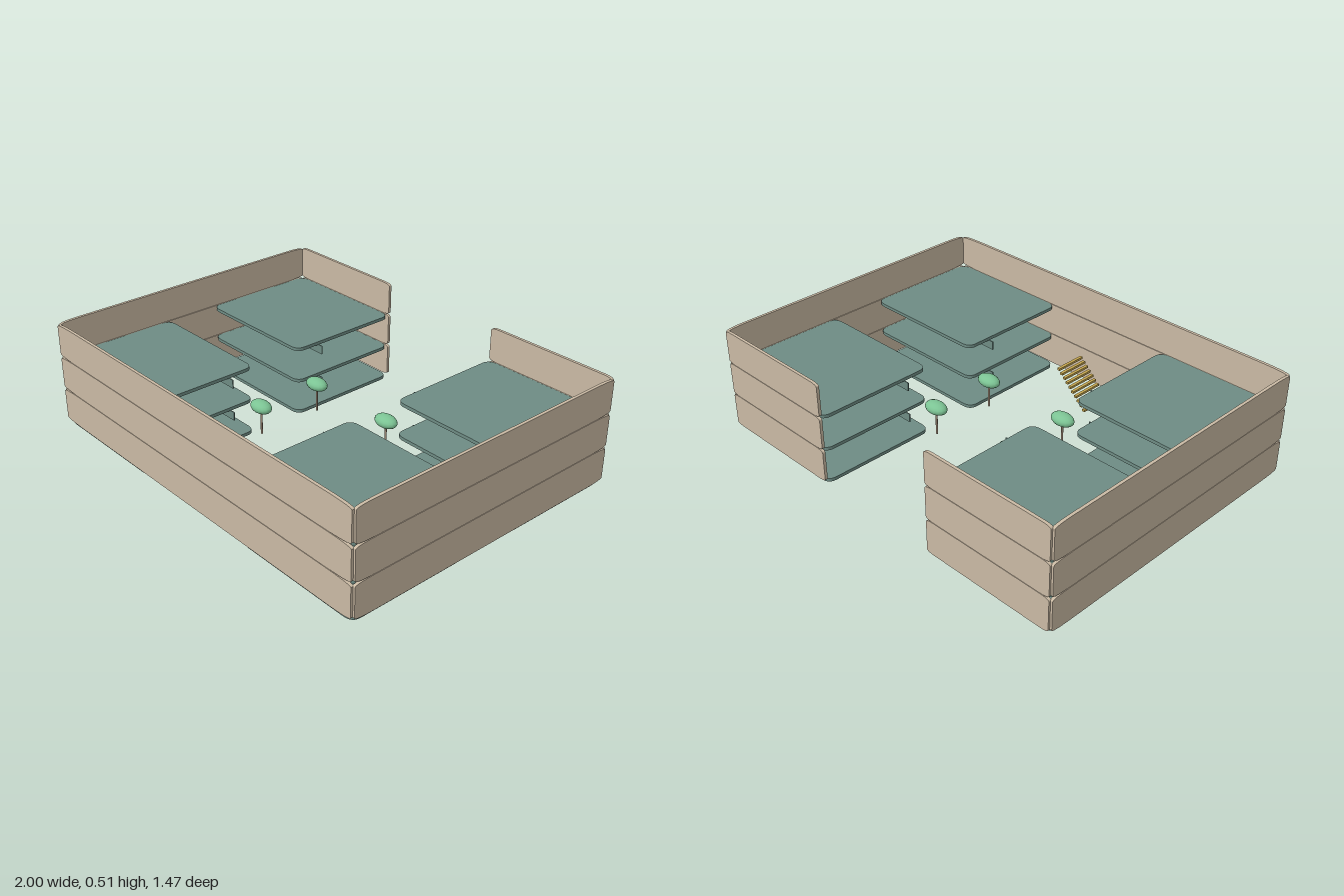
import * as THREE from 'three';

const mat = (name, color) => {
  const m = new THREE.MeshStandardMaterial({ color });
  m.name = name;
  return m;
};

// Rounded plate in the xy plane, corner radii proportional to its sides
function plate(w, h, t, k = 0.075) {
  const a = w / 2, b = h / 2, rx = w * k, ry = h * k;
  const s = new THREE.Shape();
  s.moveTo(-a + rx, -b);
  s.lineTo(a - rx, -b);
  s.quadraticCurveTo(a, -b, a, -b + ry);
  s.lineTo(a, b - ry);
  s.quadraticCurveTo(a, b, a - rx, b);
  s.lineTo(-a + rx, b);
  s.quadraticCurveTo(-a, b, -a, b - ry);
  s.lineTo(-a, -b + ry);
  s.quadraticCurveTo(-a, -b, -a + rx, -b);
  const g = new THREE.ExtrudeGeometry(s, { depth: t, bevelEnabled: false, curveSegments: 8 });
  return g.translate(0, 0, -t / 2);
}

export function createModel() {
  const root = new THREE.Group();
  root.name = 'building';
  const wall = mat('beige wall', 0xcabaa4);
  const slab = mat('grey green floor', 0x6e8c84);
  const leaf = mat('leaf green', 0x7cc494);
  const gold = mat('golden wood', 0xc8a850);
  const bark = mat('trunk brown', 0xa08c78);

  const add = (parent, name, geo, m, x, y, z) => {
    const mesh = new THREE.Mesh(geo, m);
    mesh.name = name;
    mesh.position.set(x, y, z);
    parent.add(mesh);
    return mesh;
  };

  const PITCH = 0.1645, H = 0.162, T = 0.014;
  const frontGeo = plate(1.98, H, T);
  const sideGeo = plate(1.446, H, T).rotateY(Math.PI / 2);
  const backGeo = plate(0.66, H, T);
  const floorGeo = plate(0.655, 0.587, 0.016).rotateX(-Math.PI / 2);
  const beamGeo = new THREE.BoxGeometry(0.435, 0.042, 0.005);

  // Three storeys: outer wall panels, four floor slabs, beams under the upper slabs
  for (let i = 0; i < 3; i++) {
    const storey = new THREE.Group();
    storey.name = 'storey' + (i + 1);
    storey.position.y = i * PITCH;
    root.add(storey);
    const wy = 0.018 + H / 2;
    add(storey, 'frontWall', frontGeo, wall, 0, wy, 0.722);
    for (const sx of [1, -1]) {
      add(storey, 'sideWall', sideGeo, wall, sx * 0.993, wy, -0.005);
      add(storey, 'backWall', backGeo, wall, sx * 0.66, wy, -0.73);
      for (const sz of [1, -1]) {
        add(storey, 'floorSlab', floorGeo, slab, sx * 0.657, 0.008, sz * 0.425 - 0.003);
        if (i > 0) add(storey, 'beam', beamGeo, slab, sx * 0.5225, -0.021, sz * 0.263 - 0.003);
      }
    }
  }

  // Courtyard trees
  const crownGeo = new THREE.SphereGeometry(1, 16, 10).scale(0.061, 0.03, 0.041);
  const trunkGeo = new THREE.CylinderGeometry(0.005, 0.005, 0.13, 10);
  for (const sx of [1, -1]) for (const sz of [1, -1]) {
    const tree = new THREE.Group();
    tree.name = 'tree';
    tree.position.set(sx * 0.233, 0, sz * 0.166 - 0.004);
    add(tree, 'crown', crownGeo, leaf, 0, 0.19, 0);
    add(tree, 'trunk', trunkGeo, bark, 0, 0.115, 0);
    root.add(tree);
  }

  // Open staircase climbing towards +x
  const stairs = new THREE.Group();
  stairs.name = 'stairs';
  root.add(stairs);
  const treadGeo = new THREE.BoxGeometry(0.015, 0.011, 0.164);
  for (let i = 0; i < 10; i++) {
    add(stairs, 'tread', treadGeo, gold, -0.083 + i * 0.0184, 0.024 + i * 0.0175, 0.56);
  }
  return root;
}
